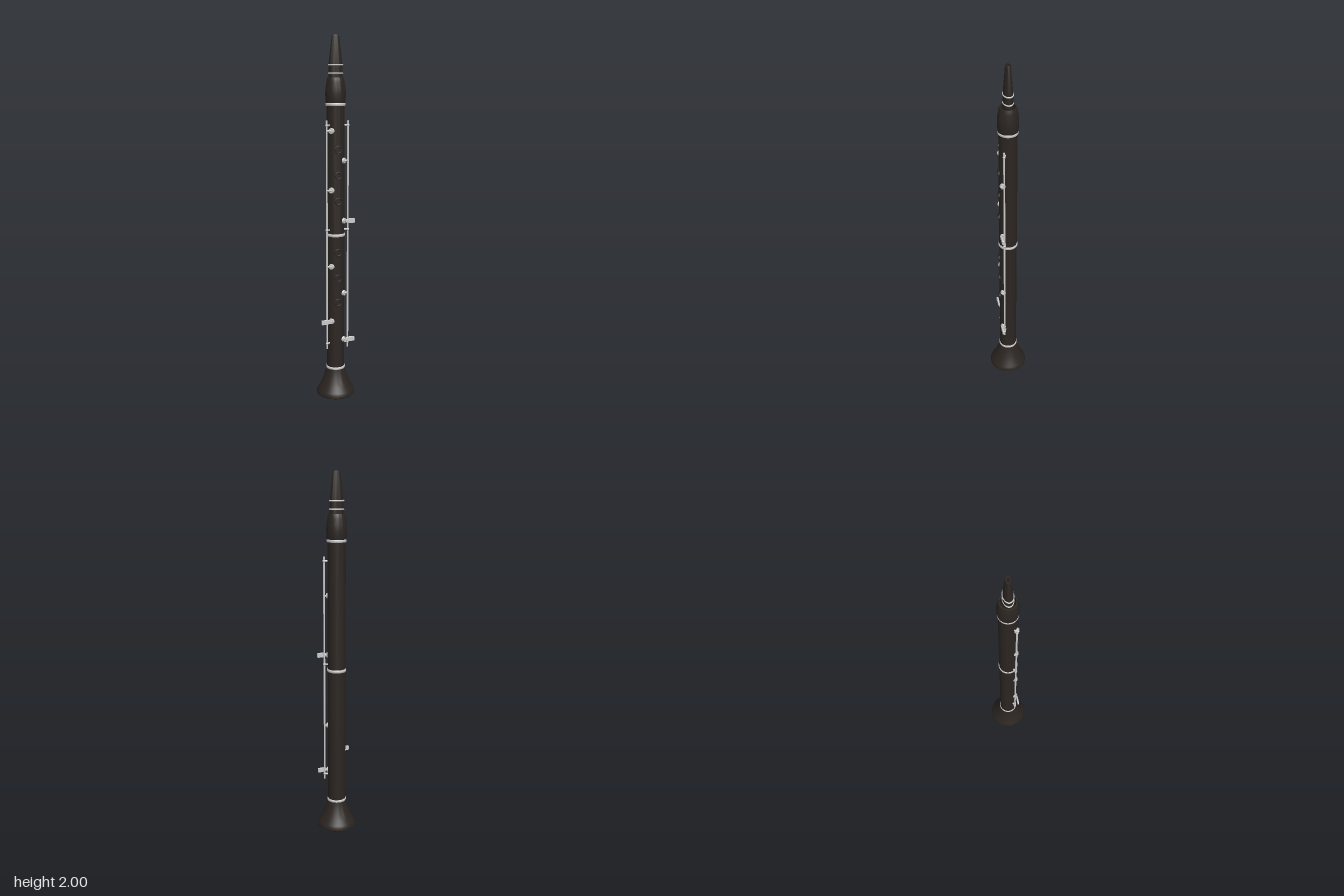
import * as THREE from 'three';
import { toCreasedNormals } from 'three/addons/utils/BufferGeometryUtils.js';

const wood = new THREE.MeshStandardMaterial({ color: 0x2b2521 });
const metal = new THREE.MeshStandardMaterial({ color: 0xcccccc });

export function createModel() {
  const model = new THREE.Group();

  const add = (name, geometry, material, parent = model) => {
    const mesh = new THREE.Mesh(geometry, material);
    mesh.name = name;
    parent.add(mesh);
    return mesh;
  };

  // closed profile: up the outside, down the bore
  const turned = (name, profile, material) => {
    const points = profile.map(([r, y]) => new THREE.Vector2(r, y));
    points.push(points[0].clone());
    return add(name, toCreasedNormals(new THREE.LatheGeometry(points, 48), 0.6), material);
  };

  // straight rod between two points
  const rod = (name, a, b, radius, parent = model) => {
    const dir = b.clone().sub(a);
    const mesh = add(name, new THREE.CylinderGeometry(radius, radius, dir.length(), 12), metal, parent);
    mesh.position.copy(a).lerp(b, 0.5);
    mesh.quaternion.setFromUnitVectors(new THREE.Vector3(0, 1, 0), dir.normalize());
    return mesh;
  };

  // flared bell, hollow underneath
  turned('bell', [
    [0.103, 0], [0.107, 0.004], [0.107, 0.018], [0.101, 0.03], [0.087, 0.055], [0.074, 0.085],
    [0.063, 0.115], [0.056, 0.14], [0.052, 0.16],
    [0.038, 0.16], [0.045, 0.125], [0.056, 0.09], [0.072, 0.055], [0.09, 0.025], [0.098, 0],
  ], wood);

  // two body joints and barrel
  turned('lowerJoint', [[0.049, 0.155], [0.049, 0.93], [0.038, 0.93], [0.038, 0.155]], wood);
  turned('upperJoint', [[0.049, 0.93], [0.049, 1.64], [0.038, 1.64], [0.038, 0.93]], wood);
  turned('barrel', [
    [0.05, 1.635], [0.054, 1.665], [0.0555, 1.695], [0.054, 1.725], [0.049, 1.755], [0.046, 1.775],
    [0.044, 1.78], [0.038, 1.78], [0.038, 1.635],
  ], wood);

  // metal bands at the joints
  for (const y of [0.16, 0.93, 1.64]) {
    turned('jointBand', [
      [0.051, y - 0.008], [0.053, y - 0.005], [0.053, y + 0.005], [0.051, y + 0.008],
      [0.045, y + 0.008], [0.045, y - 0.008],
    ], metal);
  }

  // oval mouthpiece with its ligature bands
  const flat = 0.66;
  turned('mouthpiece', [
    [0.038, 1.765], [0.038, 1.84], [0.037, 1.86], [0.021, 1.994], [0.019, 2],
    [0.011, 2], [0.012, 1.98], [0.027, 1.84], [0.027, 1.765],
  ], wood).scale.z = flat;
  for (const y of [1.803, 1.847]) {
    const band = add('ligatureBand', new THREE.TorusGeometry(0.0385, 0.004, 10, 48), metal);
    band.rotation.x = Math.PI / 2;
    band.scale.y = flat;
    band.position.y = y;
  }

  // tone hole rings down the front
  for (const y of [0.55, 0.69, 0.835, 1.12, 1.26, 1.4]) {
    const ring = add('toneHoleRing', new THREE.TorusGeometry(0.018, 0.0035, 10, 32), wood);
    ring.position.set(0, y, 0.05);
  }

  // long key rods on posts
  for (const side of [-1, 1]) {
    const at = (x, y, z) => new THREE.Vector3(side * x, y, z);
    rod('keyRod', at(0.06, 0.28, 0.032), at(0.06, 1.555, 0.032), 0.005);
    for (const y of [0.31, 0.96, 1.53]) {
      rod('rodPost', at(0.038, y, 0.021), at(0.06, y, 0.032), 0.005);
      add('postBall', new THREE.SphereGeometry(0.008, 14, 10), metal).position.copy(at(0.06, y, 0.032));
    }
  }

  // key: a domed cup facing outward, an arm to the rod, an optional finger lever
  const addKey = (side, y, hasLever) => {
    const key = new THREE.Group();
    key.name = 'key';
    key.position.y = y;
    model.add(key);
    const outward = new THREE.Vector3(side * 0.7, 0, 0.714).normalize();
    const pad = rod('padCup', outward.clone().multiplyScalar(0.047), outward.clone().multiplyScalar(0.058), 0.0165, key);
    pad.geometry = new THREE.CylinderGeometry(0.014, 0.0165, 0.011, 24);
    const dome = add('cupDome', new THREE.SphereGeometry(0.007, 14, 10), metal, key);
    dome.position.copy(outward).multiplyScalar(0.058);
    rod('keyArm', outward.clone().multiplyScalar(0.056), new THREE.Vector3(side * 0.06, 0, 0.032), 0.005, key);
    if (hasLever) {
      const shape = new THREE.Shape();
      shape.moveTo(0.044, -0.007).lineTo(0.064, -0.012).lineTo(0.091, -0.012);
      shape.quadraticCurveTo(0.095, -0.012, 0.095, -0.008).lineTo(0.095, 0.008);
      shape.quadraticCurveTo(0.095, 0.012, 0.091, 0.012).lineTo(0.064, 0.012).lineTo(0.044, 0.007);
      const lever = add('fingerLever', new THREE.ExtrudeGeometry(shape, {
        depth: 0.008, bevelThickness: 0.001, bevelSize: 0.001, bevelSegments: 1,
      }), metal, key);
      // turn the plate to the other side while keeping its depth range
      if (side < 0) lever.rotation.y = Math.PI;
      lever.position.z = side < 0 ? 0.05 : 0.042;
    }
  };
  [[-1, 1.5], [1, 1.34], [-1, 1.18], [1, 1.01, true], [-1, 0.755], [1, 0.6], [-1, 0.44, true], [1, 0.33, true]]
    .forEach(([side, y, hasLever]) => addKey(side, y, hasLever));

  return model;
}
